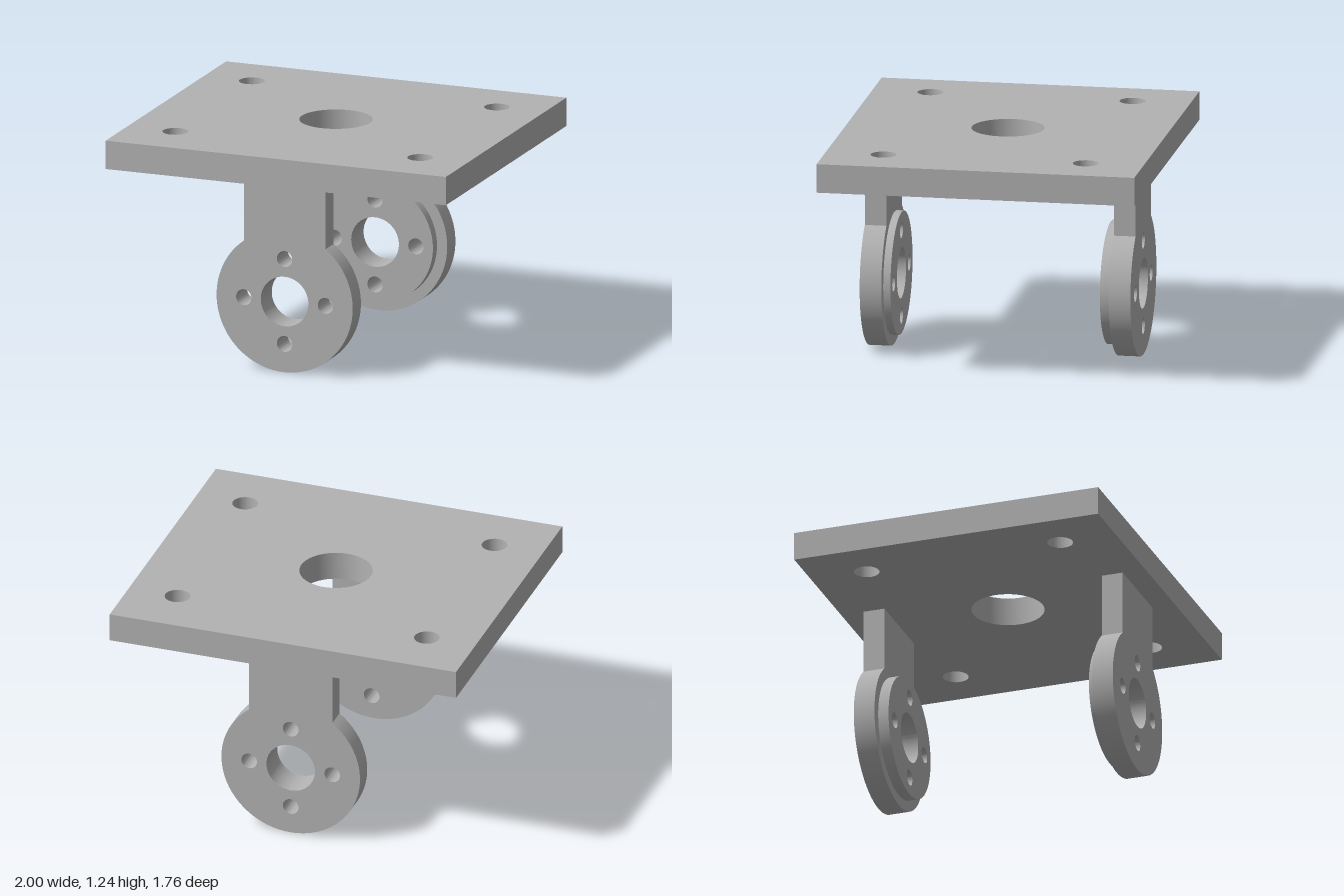
import * as THREE from 'three';
import { toCreasedNormals } from 'three/addons/utils/BufferGeometryUtils.js';

const HUB_Y = 0.4;

function addHole(shape, x, y, r) {
  shape.holes.push(new THREE.Path().absarc(x, y, r, 0, Math.PI * 2, true));
}

// Bearing bore and four bolt holes, shared by lug and boss
function addHubHoles(shape) {
  addHole(shape, 0, HUB_Y, 0.14);
  for (let i = 0; i < 4; i++) {
    const a = (i * Math.PI) / 2;
    addHole(shape, 0.24 * Math.cos(a), HUB_Y + 0.24 * Math.sin(a), 0.045);
  }
}

function extrude(shape, depth) {
  const geo = new THREE.ExtrudeGeometry(shape, { depth, bevelEnabled: false, curveSegments: 48 });
  return toCreasedNormals(geo, 0.5);
}

export function createModel() {
  const model = new THREE.Group();
  model.name = 'mountingBracket';
  const metal = new THREE.MeshStandardMaterial({ color: 0xb2b2b2 });
  metal.name = 'grey metal';

  const add = (name, geo) => {
    const mesh = new THREE.Mesh(geo, metal);
    mesh.name = name;
    model.add(mesh);
  };

  // Top plate with a central opening and corner holes
  const plate = new THREE.Shape();
  plate.moveTo(-1, -0.88).lineTo(1, -0.88).lineTo(1, 0.88).lineTo(-1, 0.88).closePath();
  addHole(plate, 0, 0, 0.2);
  for (const x of [-0.72, 0.72]) for (const z of [-0.56, 0.56]) addHole(plate, x, z, 0.07);
  add('topPlate', extrude(plate, 0.16).rotateX(-Math.PI / 2).translate(0, 1.08, 0));

  // Hanging lug: straight arm running into a round hub
  const lug = new THREE.Shape();
  const a = Math.atan2(0.32, 0.24);
  lug.moveTo(-0.24, 1.08);
  lug.lineTo(-0.24, HUB_Y + 0.32);
  lug.absarc(0, HUB_Y, 0.4, Math.PI - a, Math.PI * 2 + a, false);
  lug.lineTo(0.24, 1.08);
  lug.closePath();
  addHubHoles(lug);

  // Raised boss on the inner face of each hub
  const boss = new THREE.Shape().absarc(0, HUB_Y, 0.34, 0, Math.PI * 2, false);
  addHubHoles(boss);

  add('frontLug', extrude(lug, 0.12).translate(0, 0, 0.63));
  add('frontBoss', extrude(boss, 0.04).translate(0, 0, 0.59));
  add('rearLug', extrude(lug, 0.12).translate(0, 0, -0.75));
  add('rearBoss', extrude(boss, 0.06).translate(0, 0, -0.63));

  return model;
}
